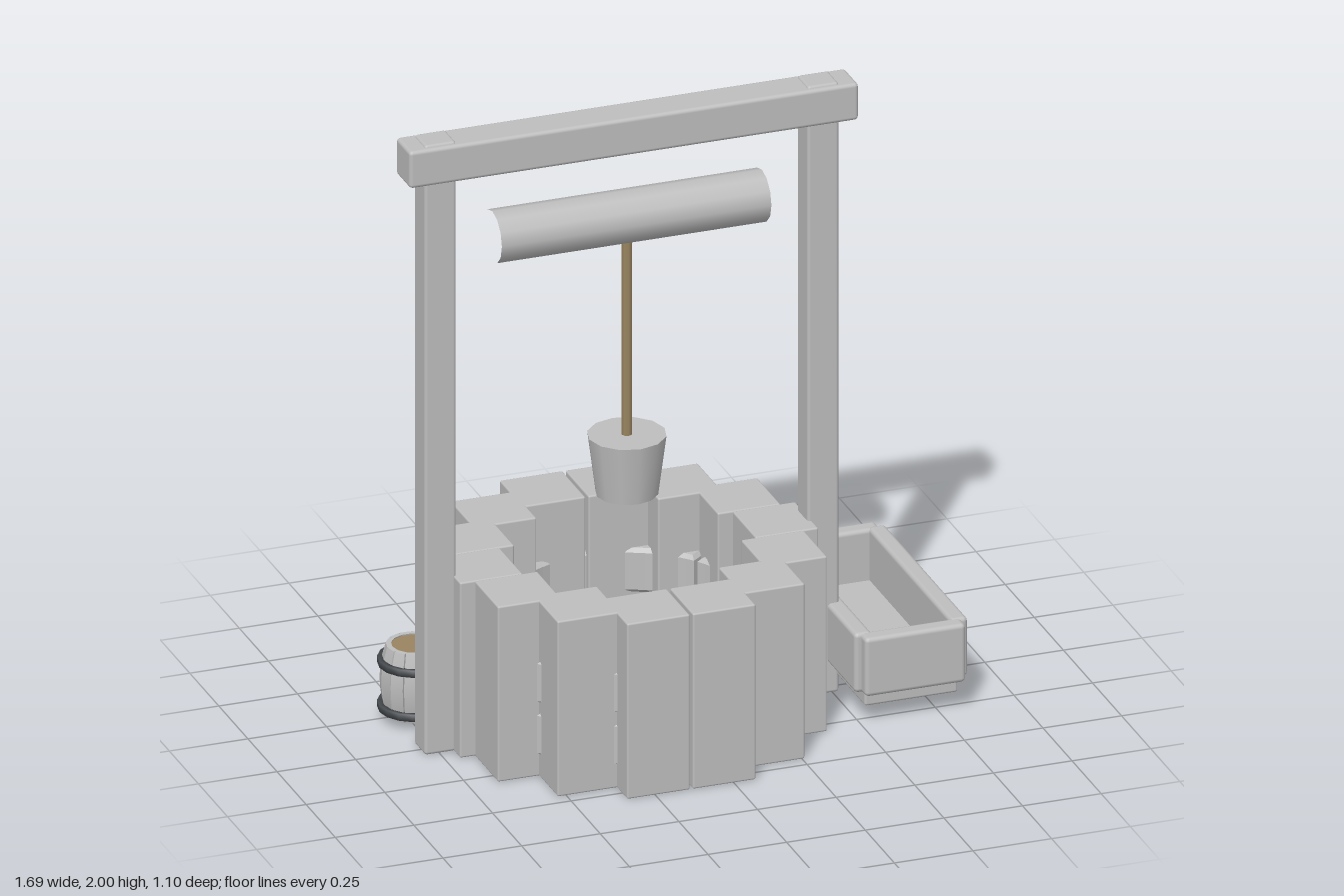
import * as THREE from 'three';
import { RoundedBoxGeometry } from 'three/addons/geometries/RoundedBoxGeometry.js';

const WELL_X = -0.135;

export function createModel() {
  const grey = new THREE.MeshStandardMaterial({ color: 0xbebebe });
  const tan = new THREE.MeshStandardMaterial({ color: 0x9a8560 });
  const iron = new THREE.MeshStandardMaterial({ color: 0x4a4e52 });
  grey.name = 'grey stone and wood';
  tan.name = 'tan rope and lid';
  iron.name = 'dark iron';

  const model = new THREE.Group();
  model.name = 'well';

  function add(parent, name, geometry, material, x = 0, y = 0, z = 0) {
    const mesh = new THREE.Mesh(geometry, material);
    mesh.name = name;
    mesh.position.set(x, y, z);
    parent.add(mesh);
    return mesh;
  }
  function group(name, x = 0, y = 0, z = 0) {
    const g = new THREE.Group();
    g.name = name;
    g.position.set(x, y, z);
    model.add(g);
    return g;
  }
  // Box given by its lower and upper corners, with softened edges
  function block(parent, name, lo, hi, radius = 0.008) {
    const s = hi.map((v, i) => v - lo[i]);
    const c = hi.map((v, i) => (v + lo[i]) / 2);
    return add(parent, name, new RoundedBoxGeometry(...s, 2, radius), grey, ...c);
  }

  // Outer wall: square pillars set around a circle without turning
  const wall = group('wellWall', WELL_X);
  const pillarCount = 14;
  for (let i = 0; i < pillarCount; i++) {
    const a = (i / pillarCount) * Math.PI * 2;
    const x = 0.47 * Math.cos(a), z = 0.46 * Math.sin(a);
    block(wall, 'wallPillar', [x - 0.1, 0, z - 0.1], [x + 0.1, 0.575, z + 0.1], 0.006);
  }

  // Inner lining: two rows of curved stones
  const lining = group('innerLining', WELL_X);
  const stoneCount = 10, half = Math.PI / stoneCount - 0.05;
  const bevel = 0.012;
  const arc = new THREE.Shape();
  arc.absarc(0, 0, 0.507 - bevel, -half, half, false);
  arc.absarc(0, 0, 0.365 + bevel, half, -half, true);
  const stone = new THREE.ExtrudeGeometry(arc, {
    depth: 0.145 - 2 * bevel, bevelEnabled: true, bevelSize: bevel,
    bevelThickness: bevel, bevelSegments: 1, curveSegments: 6,
  });
  stone.rotateX(-Math.PI / 2);
  for (const y of [0.07, 0.24]) {
    for (let i = 0; i < stoneCount; i++) {
      const mesh = add(lining, 'liningStone', stone, grey, 0, y + bevel, 0);
      mesh.rotation.y = ((i + 0.5) / stoneCount) * Math.PI * 2;
    }
  }

  // Frame: two posts running through a cross beam
  const frame = group('frame');
  for (const x of [-0.747, 0.47]) {
    block(frame, 'post', [x - 0.05, 0, -0.047], [x + 0.05, 2, 0.047], 0.01);
  }
  block(frame, 'crossBeam', [-0.85, 1.872, -0.06], [0.578, 1.993, 0.06], 0.012);

  // Roller, capped at its left end only
  const roller = group('roller', -0.137, 1.648, 0);
  const tube = new THREE.CylinderGeometry(0.082, 0.082, 0.857, 12, 1, true);
  tube.rotateZ(-Math.PI / 2);
  add(roller, 'rollerTube', tube, grey);
  const cap = new THREE.CircleGeometry(0.082, 12);
  cap.rotateY(Math.PI / 2);
  add(roller, 'rollerCap', cap, grey, 0.4285);

  // Rope and bucket
  add(model, 'rope', new THREE.CylinderGeometry(0.017, 0.017, 0.67, 8), tan, -0.138, 1.255, 0);
  add(model, 'bucket', new THREE.CylinderGeometry(0.12, 0.095, 0.192, 12), grey, -0.138, 0.836, 0);

  // Trough: floor slab, two long walls and two end walls
  const trough = group('trough', 0.663, 0, -0.075);
  block(trough, 'troughFloor', [-0.148, 0.053, -0.355], [0.148, 0.125, 0.355]);
  for (const s of [-1, 1]) {
    const x = s * 0.152, z = s * 0.367;
    block(trough, 'troughSide', [x - 0.028, 0.1, -0.357], [x + 0.028, 0.295, 0.357], 0.014);
    block(trough, 'troughEnd', [-0.16, 0.1, z - 0.028], [0.16, 0.292, z + 0.028], 0.014);
  }

  // Barrel: bowed staves, two hoops, and a lid at each end
  const barrel = group('barrel', -0.732, 0.132, -0.22);
  const staveCount = 14, height = 0.225;
  const staveGeometry = new THREE.BoxGeometry(0.042, height, 0.016, 1, 6, 1);
  const p = staveGeometry.attributes.position;
  for (let i = 0; i < p.count; i++) {
    const t = p.getY(i) / (height / 2);
    const r = 0.102 - 0.018 * t * t;
    p.setX(i, p.getX(i) * (r / 0.102));
    p.setZ(i, p.getZ(i) + r - 0.008);
  }
  staveGeometry.computeVertexNormals();
  for (let i = 0; i < staveCount; i++) {
    const stave = add(barrel, 'stave', staveGeometry, grey);
    stave.rotation.y = (i / staveCount) * Math.PI * 2;
  }
  const hoopProfile = [[0.094, -0.011], [0.111, -0.011], [0.111, 0.011], [0.094, 0.011], [0.094, -0.011]]
    .map(([r, y]) => new THREE.Vector2(r, y));
  const hoop = new THREE.LatheGeometry(hoopProfile, 16);
  for (const y of [-0.085, 0.06]) add(barrel, 'hoop', hoop, iron, 0, y, 0);
  for (const y of [-0.095, 0.1]) {
    add(barrel, 'barrelLid', new THREE.CylinderGeometry(0.08, 0.08, 0.016, 14), tan, 0, y, 0);
  }

  return model;
}
